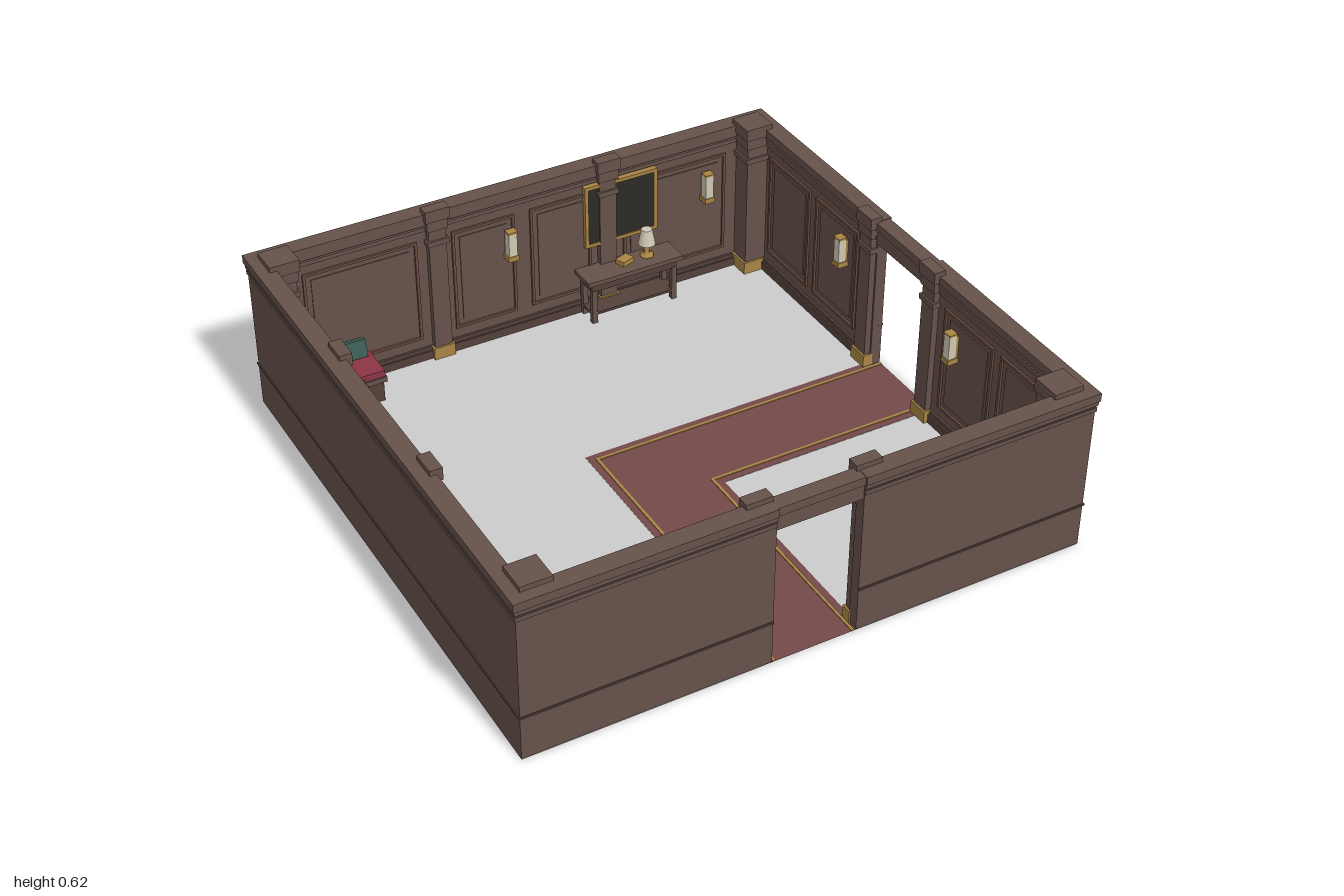
import * as THREE from 'three';

const mat = (color, extra = {}) => new THREE.MeshStandardMaterial({ color, ...extra });
const WOOD = mat(0x66524a), DARK = mat(0x54413a), PANEL = mat(0x6a4c3f), GOLD = mat(0xa98545);
const RED = mat(0x8c3546), CURTAIN = mat(0x5e2733), CREAM = mat(0xcfc8b4), CANVAS = mat(0x2c2a26);
const GREEN = mat(0x33693a, { side: THREE.DoubleSide, flatShading: true });
const LEAF2 = mat(0x214a2b, { side: THREE.DoubleSide, flatShading: true });
const FLOOR = mat(0xcccccc, { side: THREE.DoubleSide });
const RUG = mat(0x744949, { side: THREE.DoubleSide });

function add(parent, name, geometry, material, x = 0, y = 0, z = 0) {
  const m = new THREE.Mesh(geometry, material);
  m.name = name;
  m.position.set(x, y, z);
  parent.add(m);
  return m;
}

// Box given by its limits on each axis
function box(parent, name, material, x0, x1, y0, y1, z0, z1) {
  return add(parent, name, new THREE.BoxGeometry(x1 - x0, y1 - y0, z1 - z0), material,
    (x0 + x1) / 2, (y0 + y1) / 2, (z0 + z1) / 2);
}

function group(parent, name) {
  const g = new THREE.Group();
  g.name = name;
  parent.add(g);
  return g;
}

// Flat outline on the ground, points given as [x, z]
function flat(parent, name, points, material, y) {
  const shape = new THREE.Shape(points.map(([x, z]) => new THREE.Vector2(x, z)));
  add(parent, name, new THREE.ShapeGeometry(shape).rotateX(Math.PI / 2), material, 0, y, 0);
}

// Rectangular moulding or picture frame on a wall
function frame(parent, name, material, x0, x1, y0, y1, z0, z1, t) {
  const shape = new THREE.Shape([[x0, y0], [x1, y0], [x1, y1], [x0, y1]].map(p => new THREE.Vector2(...p)));
  const hole = [[x0 + t, y0 + t], [x0 + t, y1 - t], [x1 - t, y1 - t], [x1 - t, y0 + t]];
  shape.holes.push(new THREE.Path(hole.map(p => new THREE.Vector2(...p))));
  add(parent, name, new THREE.ExtrudeGeometry(shape, { depth: z1 - z0, bevelEnabled: false }), material, 0, 0, z0);
}

// Column with gold foot, neck moulding and cap; the box limits are those of its cap
function pillar(parent, name, x0, x1, z0, z1, inset) {
  const g = group(parent, name);
  const b = (n, m, i, y0, y1) => box(g, n, m, x0 + i, x1 - i, y0, y1, z0 + i, z1 - i * 0.2);
  b('foot', GOLD, inset * 0.4, 0.003, 0.05);
  b('shaft', WOOD, inset, 0.05, 0.58);
  b('neck', WOOD, inset * 0.4, 0.47, 0.49);
  b('collar', WOOD, inset * 0.5, 0.53, 0.57);
  b('cap', WOOD, 0, 0.57, 0.615);
}

function sconce(parent, x) {
  const g = group(parent, 'sconce');
  box(g, 'backPlate', GOLD, x - 0.015, x + 0.015, 0.33, 0.43, 0.934, 0.952);
  box(g, 'bracket', GOLD, x - 0.02, x + 0.02, 0.325, 0.345, 0.905, 0.95);
  box(g, 'shade', CREAM, x - 0.016, x + 0.016, 0.345, 0.435, 0.908, 0.936);
  box(g, 'shadeTop', GOLD, x - 0.018, x + 0.018, 0.435, 0.442, 0.906, 0.938);
}

// One wall, built at the front and turned into place
function wall(parent, name, angle, door, pilasters, sconces, panels) {
  const g = group(parent, name);
  g.rotation.y = angle;
  const spans = door ? [[-1, -0.15], [0.15, 1]] : [[-1, 1]];
  for (const [a, b] of spans) {
    const trim = (n, m, y0, y1, zi, zo) => box(g, n, m, a === -1 ? -zo : a, b === 1 ? zo : b, y0, y1, zi, zo);
    trim('wallBody', WOOD, 0.003, 0.57, 0.95, 0.99);
    trim('outerRail', DARK, 0.158, 0.165, 0.97, 0.994);
    trim('baseboard', DARK, 0.003, 0.035, 0.935, 0.96);
    trim('baseboardCap', DARK, 0.035, 0.05, 0.941, 0.96);
    trim('lowerCornice', WOOD, 0.527, 0.542, 0.94, 0.994);
    trim('upperCornice', WOOD, 0.55, 0.567, 0.938, 0.996);
    trim('crown', WOOD, 0.567, 0.597, 0.935, 1);
  }
  if (door) {
    box(g, 'lintel', WOOD, -0.15, 0.15, 0.51, 0.57, 0.945, 0.987);
    box(g, 'lintelCap', WOOD, -0.15, 0.15, 0.565, 0.595, 0.938, 0.993);
  }
  for (const x of pilasters) pillar(g, 'pilaster', x - 0.045, x + 0.045, 0.915, 0.958, 0.012);
  for (const x of sconces) sconce(g, x);
  for (const [a, b] of panels) {
    box(g, 'panel', WOOD, a + 0.03, b - 0.03, 0.12, 0.46, 0.946, 0.952);
    frame(g, 'panelMoulding', PANEL, a, b, 0.09, 0.49, 0.942, 0.952, 0.01);
  }
  return g;
}

// Potted plant: square pot and two whorls of folded leaves
function plant(parent, x, z, s, turn) {
  const g = group(parent, 'plant');
  g.position.set(x, 0.003, z);
  g.rotation.y = turn;
  g.scale.setScalar(s);
  const pot = new THREE.CylinderGeometry(0.05, 0.037, 0.08, 4).rotateY(Math.PI / 4);
  add(g, 'pot', pot, DARK, 0, 0.04, 0);
  add(g, 'potRim', new THREE.BoxGeometry(0.08, 0.014, 0.08), WOOD, 0, 0.08, 0);
  add(g, 'stem', new THREE.CylinderGeometry(0.008, 0.01, 0.06, 6), LEAF2, 0, 0.105, 0);
  const leaf = (len, rise, tip, w) => {
    const geo = new THREE.BufferGeometry();
    geo.setAttribute('position', new THREE.Float32BufferAttribute([
      0, 0, 0, len * 0.5, rise, w, len, tip, 0, len * 0.55, rise + 0.014, 0, len * 0.5, rise, -w], 3));
    geo.setIndex([0, 1, 3, 1, 2, 3, 0, 3, 4, 3, 2, 4]);
    geo.computeVertexNormals();
    return geo;
  };
  for (let i = 0; i < 6; i++) {
    const a = i * Math.PI / 3;
    add(g, 'outerLeaf', leaf(0.078, 0.035, 0.015, 0.02), GREEN, 0, 0.11, 0).rotation.y = a;
    add(g, 'innerLeaf', leaf(0.05, 0.05, 0.075, 0.017), i % 2 ? GREEN : LEAF2, 0, 0.115, 0).rotation.y = a + 0.5;
  }
}

export function createModel() {
  const room = new THREE.Group();
  room.name = 'room';

  // Floor around an L-shaped carpet joining the two doorways
  const E = 0.99, W = 0.17;
  flat(room, 'mainFloor', [[-E, -E], [E, -E], [E, -W], [-W, -W], [-W, E], [-E, E]], FLOOR, 0);
  flat(room, 'cornerFloor', [[W, W], [E, W], [E, E], [W, E]], FLOOR, 0);
  flat(room, 'carpet', [[-W, -W], [E, -W], [E, W], [W, W], [W, E], [-W, E]], RUG, 0.001);
  for (const c of [-0.145, 0.135]) {
    box(room, 'carpetTrim', GOLD, c, c + 0.01, 0.001, 0.004, c, E);
    box(room, 'carpetTrim', GOLD, c, E, 0.001, 0.004, c, c + 0.01);
  }

  // Walls
  const mirror = list => list.flatMap(([a, b]) => [[a, b], [-b, -a]]);
  const doorPanels = mirror([[0.26, 0.53], [0.57, 0.84]]);
  const plainPanels = mirror([[0.03, 0.27], [0.4, 0.82]]);
  wall(room, 'frontWall', 0, true, [-0.19, 0.185], [-0.335, 0.33], doorPanels);
  wall(room, 'doorSideWall', Math.PI / 2, true, [-0.185, 0.19], [-0.33, 0.335], doorPanels);
  const back = wall(room, 'backWall', Math.PI, false, [-0.33, 0.33], [0.055, -0.735], plainPanels);
  const side = wall(room, 'plainSideWall', -Math.PI / 2, false, [-0.33, 0.33], [], plainPanels);
  for (let i = 0; i < 4; i++) {
    const corner = group(room, 'corner');
    corner.rotation.y = i * Math.PI / 2;
    pillar(corner, 'cornerPillar', 0.855, 0.96, 0.855, 0.96, 0.012);
  }

  // Picture on the back wall
  box(back, 'pictureCanvas', CANVAS, -0.52, -0.25, 0.28, 0.51, 0.934, 0.95);
  frame(back, 'pictureFrame', GOLD, -0.53, -0.24, 0.27, 0.52, 0.929, 0.95, 0.013);

  // Curtained window on the plain side wall
  box(side, 'windowPanel', PANEL, -0.74, -0.45, 0.16, 0.52, 0.936, 0.95);
  frame(side, 'windowFrame', CURTAIN, -0.75, -0.44, 0.14, 0.54, 0.926, 0.95, 0.022);
  for (const x of [-0.7, -0.49]) {
    for (const d of [-0.018, 0, 0.018]) {
      add(side, 'curtainFold', new THREE.CylinderGeometry(0.01, 0.012, 0.37, 8), CURTAIN, x + d, 0.34, 0.934);
    }
  }

  // Bench with cushions
  const bench = group(room, 'bench');
  box(bench, 'benchBase', DARK, -0.92, -0.62, 0.003, 0.1, -0.925, -0.79);
  box(bench, 'benchRail', WOOD, -0.925, -0.61, 0.085, 0.105, -0.93, -0.78);
  box(bench, 'seatCushion', RED, -0.925, -0.615, 0.105, 0.13, -0.928, -0.785);
  for (const [x, m] of [[-0.83, RED], [-0.67, mat(0x3a5c54)]]) {
    const pillow = add(bench, 'pillow', new THREE.BoxGeometry(0.075, 0.065, 0.025), m, x, 0.162, -0.905);
    pillow.rotation.x = -0.25;
  }

  // Side table with lamp and book
  const table = group(room, 'sideTable');
  box(table, 'tableTop', WOOD, 0.2, 0.585, 0.17, 0.187, -0.945, -0.835);
  box(table, 'apron', DARK, 0.22, 0.565, 0.135, 0.17, -0.94, -0.85);
  for (const x of [0.22, 0.545]) {
    for (const z of [-0.94, -0.868]) box(table, 'tableLeg', WOOD, x, x + 0.02, 0.003, 0.14, z, z + 0.02);
  }
  box(table, 'lowerShelf', DARK, 0.22, 0.565, 0.035, 0.045, -0.94, -0.85);
  const book = add(table, 'book', new THREE.BoxGeometry(0.055, 0.018, 0.04), GOLD, 0.38, 0.196, -0.9);
  book.rotation.y = 0.35;
  const stand = [[0, 0], [0.025, 0], [0.025, 0.008], [0.007, 0.014], [0.012, 0.035], [0.005, 0.06], [0, 0.06]];
  add(table, 'lampStand', new THREE.LatheGeometry(stand.map(p => new THREE.Vector2(...p)), 16), GOLD, 0.47, 0.187, -0.9);
  add(table, 'lampShade', new THREE.CylinderGeometry(0.02, 0.032, 0.06, 16), CREAM, 0.47, 0.27, -0.9);

  plant(room, -0.77, -0.7, 1, 0.3);
  plant(room, -0.84, 0.82, 1.35, 0.9);
  return room;
}
